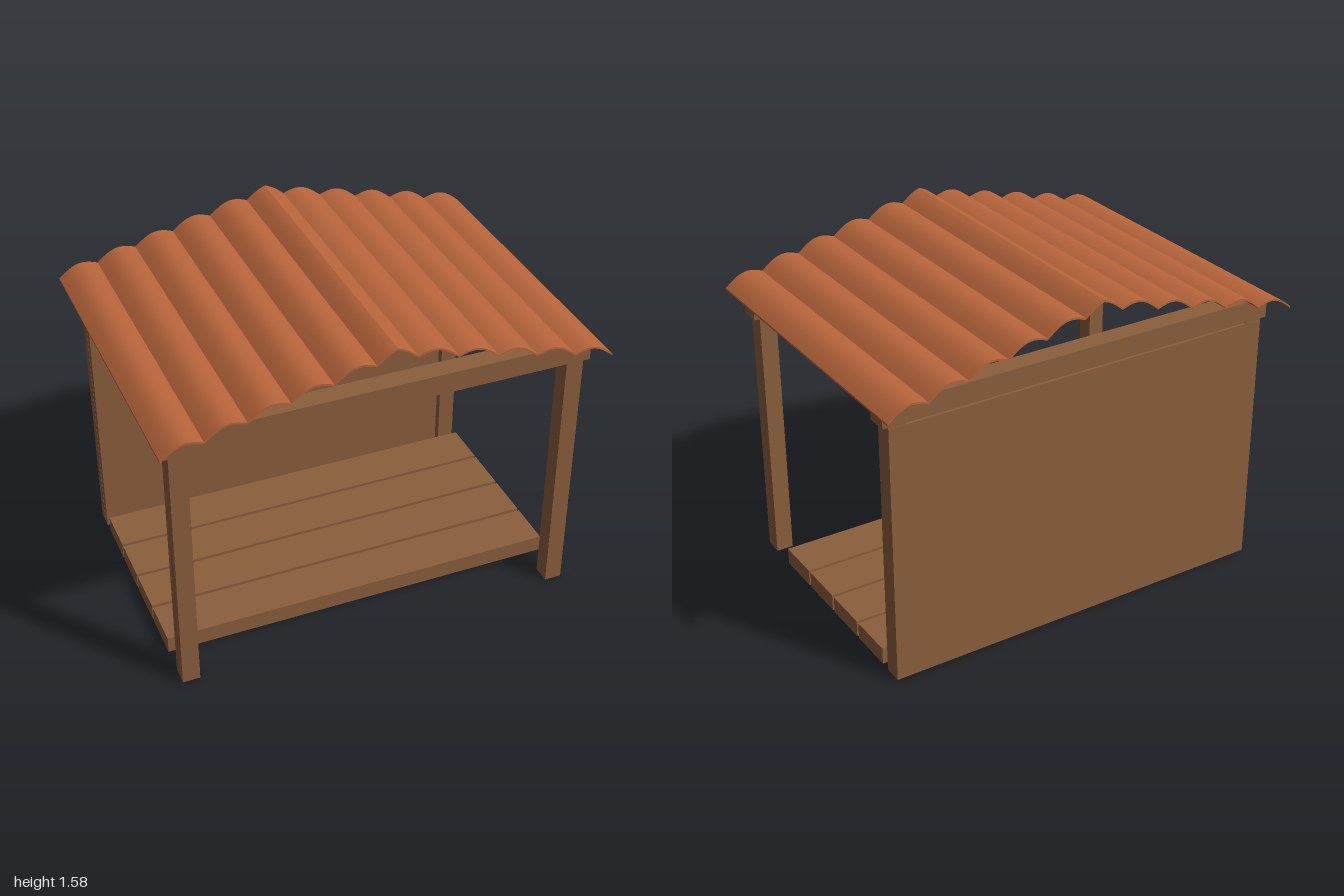
import * as THREE from 'three';
import { toCreasedNormals } from 'three/addons/utils/BufferGeometryUtils.js';

export function createModel() {
  const group = new THREE.Group();
  const wood = new THREE.MeshStandardMaterial({ color: 0x8b5e3c });
  wood.name = 'brown wood';
  const tile = new THREE.MeshStandardMaterial({ color: 0xb8653b });
  tile.name = 'terracotta roof';

  // Box given by its minimum and maximum corners
  function box(name, x0, x1, y0, y1, z0, z1) {
    const mesh = new THREE.Mesh(new THREE.BoxGeometry(x1 - x0, y1 - y0, z1 - z0), wood);
    mesh.position.set((x0 + x1) / 2, (y0 + y1) / 2, (z0 + z1) / 2);
    mesh.name = name;
    group.add(mesh);
  }

  // Corner posts and the beams across the front and back pairs
  for (const [side, s] of [['front', 1], ['back', -1]]) {
    const z = s * 0.587;
    box(side + 'LeftPost', 0.855, 0.935, 0, 1.22, z - 0.042, z + 0.042);
    box(side + 'RightPost', -0.935, -0.855, 0, 1.22, z - 0.042, z + 0.042);
    box(side + 'Beam', -0.963, 0.963, 1.22, 1.316, z - 0.048, z + 0.048);
  }

  // Back wall, stopping just short of the beam
  box('backWall', -0.936, 0.936, 0.001, 1.21, -0.632, -0.58);

  // Floor planks with narrow gaps
  for (let i = 0; i < 4; i++) {
    const z = 0.422 - i * 0.234;
    box('floorPlank' + (i + 1), -0.934, 0.934, 0, 0.079, z - 0.218, z);
  }

  // Roof sheet: eleven scallops riding on two slopes
  const scallops = 11, steps = 12, count = scallops * steps;
  const roofY = (x) =>
    1.543 - 0.237 * Math.abs(x) + 0.035 * Math.abs(Math.cos(x * scallops * Math.PI / 2));
  const top = [], bottom = [];
  for (let i = 0; i <= count; i++) {
    const x = -1 + 2 * i / count;
    top.push(new THREE.Vector2(x, roofY(x)));
    bottom.unshift(new THREE.Vector2(x, roofY(x) - 0.009));
  }
  const roofGeometry = new THREE.ExtrudeGeometry(new THREE.Shape([...bottom.reverse(), ...top.reverse()]), {
    depth: 1.494, bevelEnabled: false,
  });
  roofGeometry.translate(0, 0, -0.747);
  const roof = new THREE.Mesh(toCreasedNormals(roofGeometry, 0.35), tile);
  roof.name = 'scallopedRoof';
  group.add(roof);

  return group;
}
